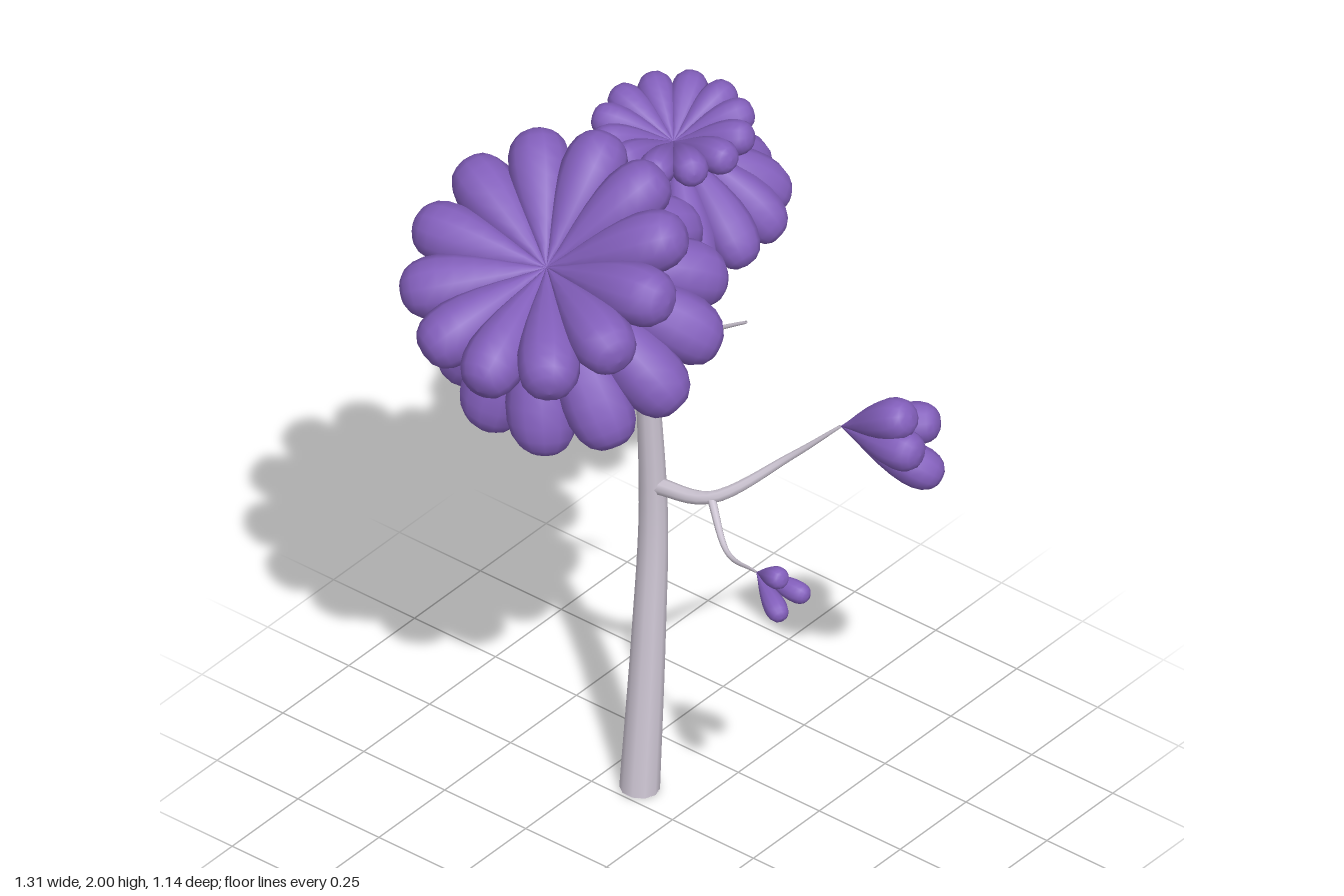
import * as THREE from 'three';

const V = (a) => new THREE.Vector3(...a);
const bark = new THREE.MeshStandardMaterial({ color: 0xd2cad8, side: THREE.DoubleSide });
const purple = new THREE.MeshStandardMaterial({ color: 0x835fbc });

// Tube through points, tapering evenly from radius r0 to r1
function limb(name, points, r0, r1, sides = 8) {
  const curve = new THREE.CatmullRomCurve3(points.map(V));
  const rings = points.length * 5;
  const geo = new THREE.TubeGeometry(curve, rings, 1, sides);
  const pos = geo.attributes.position, p = new THREE.Vector3();
  for (let i = 0; i <= rings; i++) {
    const c = curve.getPointAt(i / rings);
    const r = THREE.MathUtils.lerp(r0, r1, i / rings);
    for (let j = 0; j <= sides; j++) {
      const n = i * (sides + 1) + j;
      p.fromBufferAttribute(pos, n).sub(c).multiplyScalar(r).add(c);
      pos.setXYZ(n, p.x, p.y, p.z);
    }
  }
  const mesh = new THREE.Mesh(geo, bark);
  mesh.name = name;
  return mesh;
}

// Thin shoot between two points, sagging in the middle
function twig(from, to, sag) {
  const mid = V(from).lerp(V(to), 0.5);
  mid.y -= sag;
  return limb('twig', [from, mid.toArray(), to], 0.012, 0.004);
}

// Teardrop petal: pointed at the root, round at the tip, arched by bend
function petal(from, to, radius, bend = 0) {
  const dir = to.clone().sub(from), len = dir.length();
  dir.normalize();
  const profile = [];
  for (let i = 0; i <= 10; i++) {
    const t = i === 10 ? 1 : Math.sin((i / 10) * Math.PI / 2);
    profile.push(new THREE.Vector2(2.46 * radius * t ** 1.2 * (1 - t) ** 0.4, t * len));
  }
  const geo = new THREE.LatheGeometry(profile, 12);
  const pos = geo.attributes.position;
  for (let i = 0; i < pos.count; i++) {
    pos.setZ(i, pos.getZ(i) + bend * Math.sin(Math.PI * pos.getY(i) / len));
  }
  const side = dir.clone().cross(new THREE.Vector3(0, 1, 0)).normalize();
  const up = side.clone().cross(dir);
  const mesh = new THREE.Mesh(geo, purple);
  mesh.name = 'petal';
  mesh.quaternion.setFromRotationMatrix(new THREE.Matrix4().makeBasis(side, dir, up));
  mesh.position.copy(from);
  return mesh;
}

// Ring of twelve petals around the local y axis
function petalRing(name, reach, height, radius, bend, turn) {
  const ring = new THREE.Group();
  ring.name = name;
  for (let i = 0; i < 12; i++) {
    const a = turn + (i / 12) * Math.PI * 2;
    const tip = new THREE.Vector3(Math.cos(a) * reach, height, Math.sin(a) * reach);
    ring.add(petal(new THREE.Vector3(), tip, radius, bend));
  }
  return ring;
}

// Two petal rings sharing one centre, tilted to face along normal
function blossom(name, centre, normal, upper, lower) {
  const g = new THREE.Group();
  g.name = name;
  g.add(upper, lower);
  g.position.copy(V(centre));
  g.quaternion.setFromUnitVectors(new THREE.Vector3(0, 1, 0), V(normal).normalize());
  return g;
}

// Closed bud: a few petals from one root to the given tips
function bud(name, root, radius, tips) {
  const g = new THREE.Group();
  g.name = name;
  for (const tip of tips) g.add(petal(V(root), V(tip), radius));
  return g;
}

export function createModel() {
  const tree = new THREE.Group();
  tree.name = 'blossomTree';

  // Trunk and its closed foot
  const foot = new THREE.Mesh(new THREE.CircleGeometry(0.048, 10), bark);
  foot.name = 'trunkFoot';
  foot.rotation.x = Math.PI / 2;
  foot.position.set(0.05, 0.002, -0.142);
  tree.add(foot, limb('trunk',
    [[0.05, 0, -0.142], [0.076, 0.45, -0.135], [0.087, 0.8, -0.13], [0.05, 1.27, -0.122]], 0.049, 0.027, 10));

  // Limbs that carry the two crowns
  const fork = [0.052, 1.24, -0.122], high = [-0.03, 1.44, -0.11], wide = [0.2, 1.34, -0.16];
  tree.add(
    limb('crownLimb', [fork, high, [-0.09, 1.58, -0.11], [-0.28, 1.71, -0.125]], 0.026, 0.008),
    limb('rearLimb', [fork, [0.055, 1.39, -0.16], [0.01, 1.52, -0.2], [-0.06, 1.63, -0.22]], 0.016, 0.005),
    limb('sideLimb', [fork, wide, [0.42, 1.43, -0.27], [0.38, 1.64, -0.3]], 0.021, 0.006),
    twig(high, [-0.17, 1.68, 0.05], 0.02),
    twig(high, [-0.16, 1.64, -0.22], 0),
    twig([-0.01, 1.4, -0.115], [-0.015, 1.585, 0.24], 0.02),
    twig(wide, [0.33, 1.55, -0.35], 0.04),
    twig([0.3, 1.37, -0.2], [0.26, 1.5, -0.2], 0));

  // Low branch forking to the two buds
  const elbow = [0.085, 0.925, 0.05], largeRoot = [0.232, 1.18, 0.33], smallRoot = [-0.1, 0.94, 0.34];
  tree.add(
    limb('lowBranch', [[0.082, 0.885, -0.125], elbow, [0.19, 1.06, 0.21], largeRoot], 0.022, 0.004),
    limb('lowTwig', [elbow, [-0.015, 0.88, 0.18], smallRoot], 0.011, 0.003));

  tree.add(
    blossom('largeBlossom', [-0.325, 1.755, -0.125], [-0.53, 0.85, 0],
      petalRing('upperPetals', 0.362, 0.022, 0.077, 0, 0.4),
      petalRing('lowerPetals', 0.347, -0.315, 0.085, 0.032, 0.26)),
    blossom('smallBlossom', [0.37, 1.66, -0.297], [-0.07, 1, 0],
      petalRing('upperPetals', 0.2, 0.048, 0.045, 0, 0.1),
      petalRing('lowerPetals', 0.262, -0.228, 0.063, 0.018, 0.2)),
    bud('largeBud', largeRoot, 0.053,
      [[0.258, 1.285, 0.53], [0.248, 1.19, 0.565], [0.36, 1.215, 0.535], [0.37, 1.04, 0.53]]),
    bud('smallBud', smallRoot, 0.028,
      [[-0.118, 0.973, 0.44], [-0.085, 0.925, 0.49], [-0.168, 0.9, 0.475]]));
  return tree;
}
